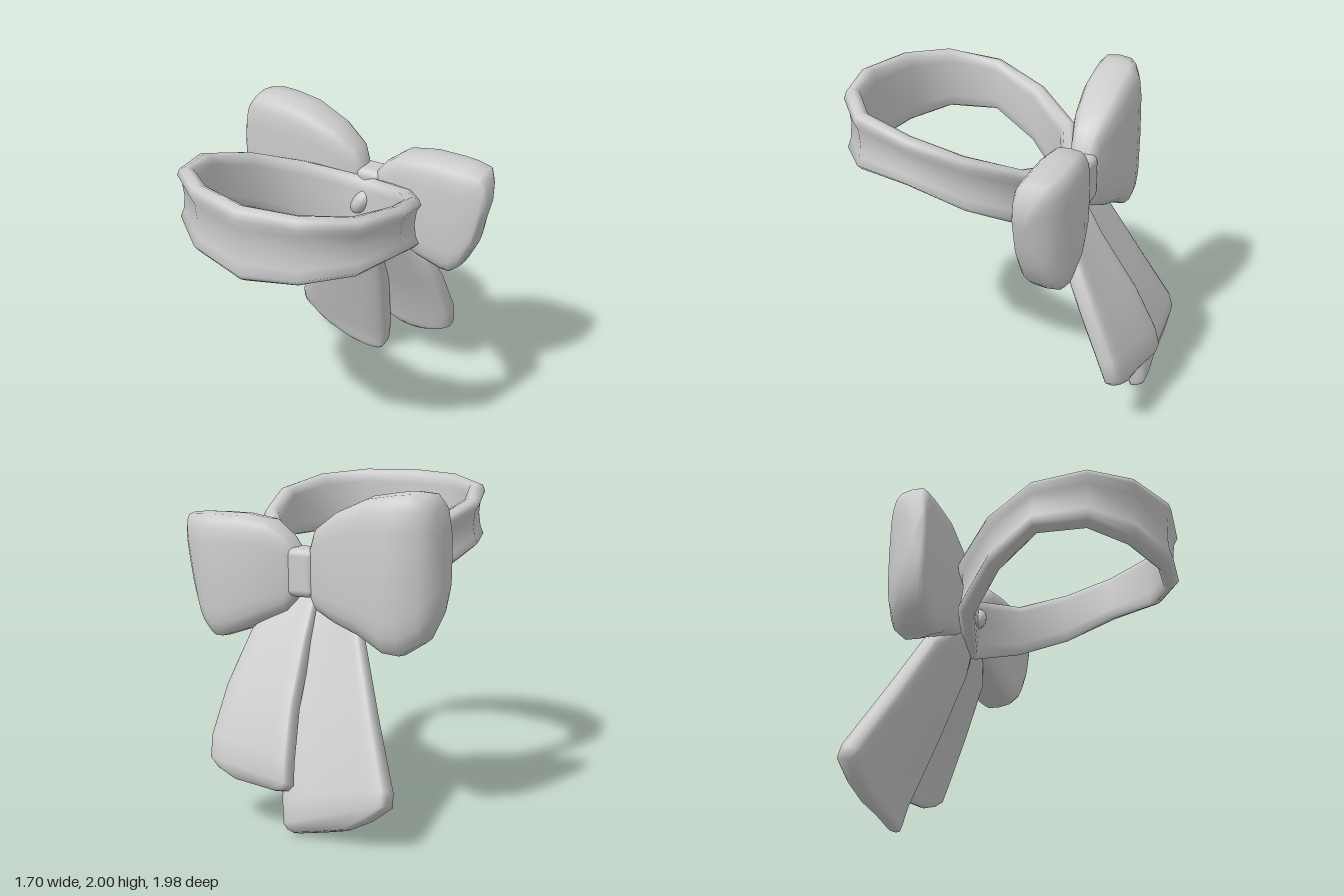
import * as THREE from 'three';
import { RoundedBoxGeometry } from 'three/addons/geometries/RoundedBoxGeometry.js';

// Skin rings of points (all the same length) into a smooth closed surface
function skin(rings, closedLoop) {
  const n = rings[0].length, m = rings.length;
  const pts = rings.flat();
  const idx = [];
  for (let i = 0; i < (closedLoop ? m : m - 1); i++) {
    const a = i * n, b = ((i + 1) % m) * n;
    for (let j = 0; j < n; j++) {
      const k = (j + 1) % n;
      idx.push(a + j, a + k, b + j, a + k, b + k, b + j);
    }
  }
  if (!closedLoop) {
    for (const [ring, start, first] of [[rings[0], 0, true], [rings[m - 1], (m - 1) * n, false]]) {
      const c = ring.reduce((s, p) => s.add(p), new THREE.Vector3()).divideScalar(n);
      const ci = pts.push(c) - 1;
      for (let j = 0; j < n; j++) {
        const k = (j + 1) % n;
        if (first) idx.push(ci, start + k, start + j);
        else idx.push(ci, start + j, start + k);
      }
    }
  }
  // Turn the faces outward if the enclosed volume is negative
  let vol = 0;
  const cross = new THREE.Vector3();
  for (let i = 0; i < idx.length; i += 3) {
    vol += pts[idx[i]].dot(cross.crossVectors(pts[idx[i + 1]], pts[idx[i + 2]]));
  }
  if (vol < 0) idx.reverse();
  const g = new THREE.BufferGeometry().setFromPoints(pts);
  g.setIndex(idx);
  g.computeVertexNormals();
  return g;
}

// Padded cloth: each section runs from edge point A to edge point B, with half
// thickness h along a fixed direction; sag pushes the middle against it
function cloth(sections, direction, power, sag, sides = 20) {
  const dir = new THREE.Vector3(...direction).normalize();
  const bulge = (v) => Math.sign(v) * Math.pow(Math.abs(v), power);
  const rings = sections.map(([a, b, h]) => {
    const A = new THREE.Vector3(...a), B = new THREE.Vector3(...b);
    const mid = A.clone().add(B).multiplyScalar(0.5);
    const half = B.clone().sub(A).multiplyScalar(0.5);
    return Array.from({ length: sides }, (_, j) => {
      const t = (j / sides) * Math.PI * 2;
      const u = bulge(Math.cos(t));
      return mid.clone()
        .addScaledVector(half, u)
        .addScaledVector(dir, h * bulge(Math.sin(t)) - sag * (1 - u * u));
    });
  });
  return skin(rings, false);
}

// Tilted twelve-sided collar with flared rims
function collarGeometry() {
  // outer x, outer z, top y, bottom y
  const stations = [
    [0, 0.99, 1.975, 1.49], [0.35, 0.91, 1.968, 1.52], [0.61, 0.7, 1.94, 1.56],
    [0.695, 0.34, 1.88, 1.56], [0.61, 0, 1.78, 1.42], [0.39, -0.3, 1.66, 1.29],
    [0, -0.47, 1.58, 1.14], [-0.41, -0.3, 1.66, 1.24], [-0.625, 0, 1.78, 1.41],
    [-0.725, 0.35, 1.88, 1.55], [-0.625, 0.68, 1.94, 1.56], [-0.37, 0.89, 1.968, 1.52],
  ];
  // inset from the outside, height fraction
  const profile = [
    [0, 0.86], [0.015, 0.96], [0.055, 1], [0.095, 0.96], [0.11, 0.82], [0.11, 0.2],
    [0.105, 0.04], [0.085, 0], [0.035, 0.07], [0.005, 0.15], [0.025, 0.28], [0.035, 0.5], [0.025, 0.74],
  ];
  const rings = stations.map(([x, z, top, bottom]) => {
    const inward = new THREE.Vector2(-x, 0.32 - z).normalize();
    return profile.map(([d, v]) => new THREE.Vector3(
      x + inward.x * d, bottom + (top - bottom) * v, z + inward.y * d));
  });
  return skin(rings, true);
}

export function createModel() {
  const model = new THREE.Group();
  model.name = 'bowCollar';
  const grey = new THREE.MeshStandardMaterial({ color: 0xcccccc });
  grey.name = 'grey cloth';
  const add = (name, geometry) => {
    const mesh = new THREE.Mesh(geometry, grey);
    mesh.name = name;
    model.add(mesh);
    return mesh;
  };

  add('collar', collarGeometry());

  // Bow loops, from knot to outer end: bottom edge, top edge, half depth
  add('rightLoop', cloth([
    [[-0.02, 1.36, -0.47], [-0.02, 1.6, -0.47], 0.06],
    [[-0.08, 1.27, -0.475], [-0.08, 1.76, -0.475], 0.095],
    [[-0.22, 1.21, -0.48], [-0.23, 1.87, -0.475], 0.14],
    [[-0.38, 1.16, -0.49], [-0.43, 1.96, -0.47], 0.165],
    [[-0.54, 1.07, -0.49], [-0.6, 1.99, -0.465], 0.17],
    [[-0.64, 1.06, -0.48], [-0.69, 2.0, -0.455], 0.165],
    [[-0.76, 1.14, -0.45], [-0.78, 1.99, -0.435], 0.145],
    [[-0.82, 1.28, -0.41], [-0.825, 1.92, -0.4], 0.11],
    [[-0.85, 1.42, -0.38], [-0.845, 1.8, -0.37], 0.06],
  ], [0, 0, 1], 0.52, 0));
  add('leftLoop', cloth([
    [[0.04, 1.36, -0.47], [0.04, 1.6, -0.47], 0.06],
    [[0.12, 1.25, -0.48], [0.12, 1.7, -0.48], 0.1],
    [[0.24, 1.19, -0.49], [0.24, 1.79, -0.49], 0.13],
    [[0.37, 1.12, -0.5], [0.42, 1.815, -0.5], 0.15],
    [[0.54, 1.06, -0.51], [0.6, 1.815, -0.5], 0.152],
    [[0.6, 1.06, -0.505], [0.7, 1.81, -0.495], 0.147],
    [[0.67, 1.12, -0.49], [0.79, 1.8, -0.485], 0.128],
    [[0.75, 1.27, -0.465], [0.825, 1.74, -0.465], 0.095],
    [[0.79, 1.42, -0.44], [0.845, 1.64, -0.44], 0.06],
  ], [0, 0, 1], 0.52, 0));

  // Hanging tails, from knot to lower end: right edge, left edge, half thickness
  add('rightTail', cloth([
    [[-0.18, 1.34, -0.42], [0.03, 1.36, -0.42], 0.05],
    [[-0.38, 1.15, -0.51], [0.06, 1.08, -0.51], 0.065],
    [[-0.56, 0.73, -0.68], [0.02, 0.65, -0.68], 0.08],
    [[-0.73, 0.36, -0.83], [-0.05, 0.2, -0.85], 0.088],
    [[-0.74, 0.28, -0.855], [-0.07, 0.06, -0.875], 0.08],
    [[-0.62, 0.18, -0.86], [-0.09, 0.03, -0.87], 0.068],
    [[-0.48, 0.1, -0.86], [-0.12, 0.015, -0.865], 0.04],
  ], [0, 0.4, -0.9], 0.48, 0.028));
  add('leftTail', cloth([
    [[-0.05, 1.36, -0.44], [0.16, 1.33, -0.44], 0.05],
    [[-0.06, 1.1, -0.57], [0.34, 1.12, -0.54], 0.068],
    [[-0.1, 0.75, -0.79], [0.42, 0.8, -0.7], 0.072],
    [[-0.14, 0.46, -0.92], [0.45, 0.52, -0.825], 0.073],
    [[-0.155, 0.34, -0.95], [0.44, 0.39, -0.865], 0.068],
    [[-0.12, 0.3, -0.95], [0.38, 0.34, -0.88], 0.055],
    [[-0.04, 0.28, -0.93], [0.26, 0.29, -0.89], 0.035],
  ], [0, 0.4, -0.9], 0.48, 0.02));

  // Knot between the loops, and its end poking through the collar
  add('knot', new RoundedBoxGeometry(0.19, 0.29, 0.18, 3, 0.045))
    .position.set(0.02, 1.49, -0.475);
  const end = add('knotEnd', new THREE.SphereGeometry(1, 14, 10));
  end.scale.set(0.06, 0.105, 0.08);
  end.position.set(-0.01, 1.42, -0.385);
  end.rotation.z = -0.6;

  return model;
}
